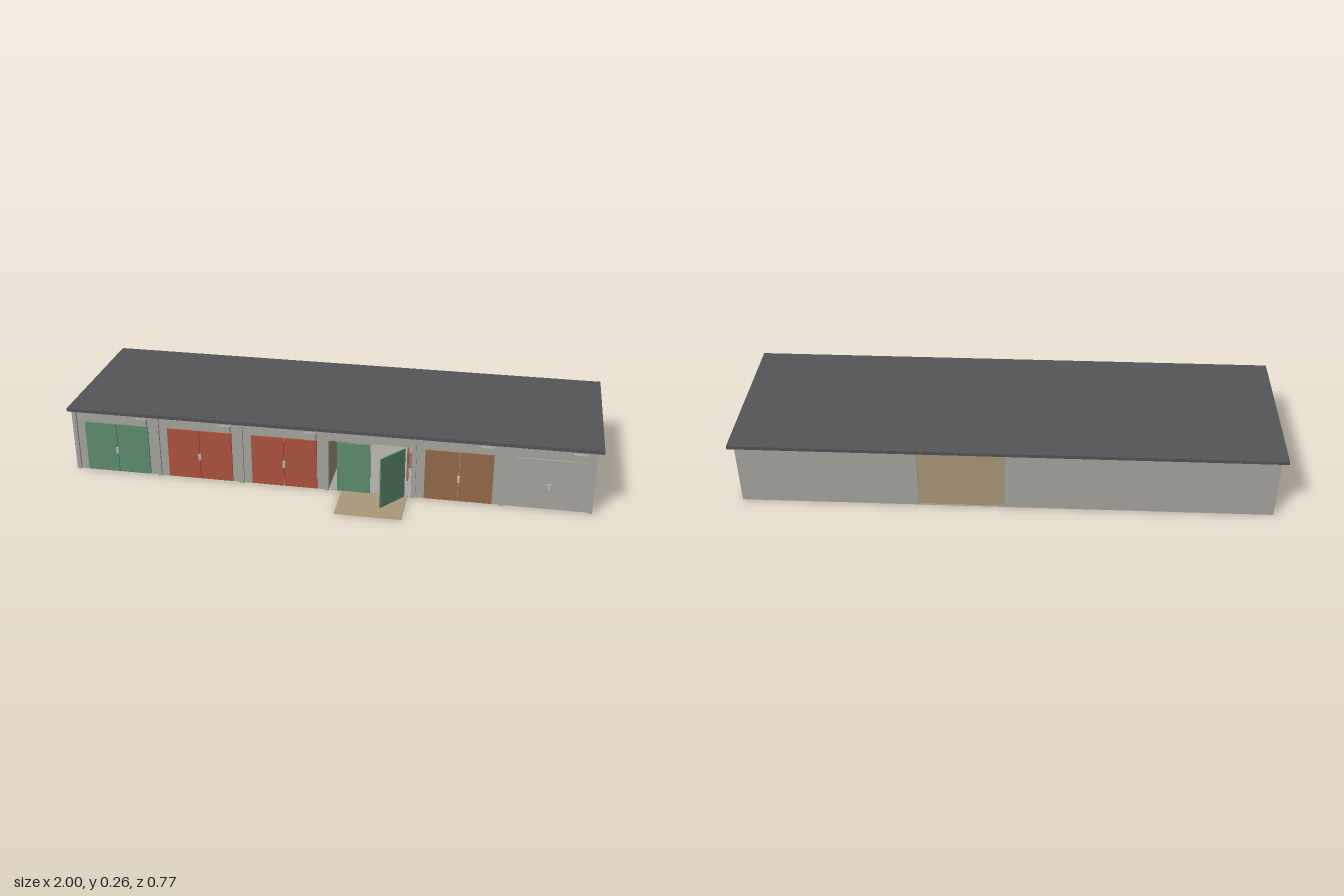
import * as THREE from 'three';

const mat = (name, color, side = THREE.FrontSide) => {
  const m = new THREE.MeshStandardMaterial({ color, side });
  m.name = name;
  return m;
};

export function createModel() {
  const wall = mat('concrete', 0xa9a7a0);
  const roofGrey = mat('roof felt', 0x555558);
  const tan = mat('sand plaster', 0xab9a7a);
  const green = mat('green paint', 0x5f8f70);
  const red = mat('red paint', 0xb0543f);
  const brown = mat('brown paint', 0x976a4c);
  const pale = mat('pale metal', 0xb8b8b4);
  const rubber = mat('rubber', 0x2a2a2c);

  const model = new THREE.Group();
  model.name = 'garageRow';

  // Box given by its min and max on each axis
  const box = (name, m, x0, x1, y0, y1, z0, z1, parent = model) => {
    const mesh = new THREE.Mesh(new THREE.BoxGeometry(x1 - x0, y1 - y0, z1 - z0), m);
    mesh.position.set((x0 + x1) / 2, (y0 + y1) / 2, (z0 + z1) / 2);
    mesh.name = name;
    parent.add(mesh);
    return mesh;
  };

  const END = 0.98, BACK = -0.363, FRONT = 0.212, TOP = 0.25;
  const UNIT = (2 * END) / 6;
  const edge = i => -END + i * UNIT;
  const OPEN = 3;
  const openL = edge(OPEN) + 0.004, openR = edge(OPEN + 1) - 0.004;

  // Closed garages either side of the open one, and the roof slab
  box('wallsRightBlock', wall, -END, openL, 0, TOP, BACK, FRONT);
  box('wallsLeftBlock', wall, openR, END, 0, TOP, BACK, FRONT);
  box('roof', roofGrey, -1, 1, TOP, 0.263, -0.384, 0.233);

  // Open garage: floor, plastered inside walls, lintel, ceiling
  box('openFloor', wall, openL, openR, 0, 0.003, BACK, FRONT);
  box('openBackWall', tan, openL, openR, 0.003, TOP, BACK + 0.003, BACK + 0.012);
  box('openSideWallRight', tan, openL, openL + 0.004, 0.003, TOP, BACK + 0.012, FRONT - 0.002);
  box('openSideWallLeft', tan, openR - 0.004, openR, 0.003, TOP, BACK + 0.012, FRONT - 0.002);
  box('lintel', wall, openL, openR, 0.206, TOP, FRONT - 0.015, FRONT);

  // Pilasters between garages
  for (let i = 0; i <= 6; i++) {
    const x = i === 6 ? END - 0.008 : edge(i);
    box('pilaster', wall, x - 0.008, x + 0.008, 0, TOP, FRONT - 0.01, 0.22);
  }

  // Vent and double gate per garage
  const gateColours = [green, red, red, green, brown, wall];
  const HALF = 0.125, H = 0.203;
  gateColours.forEach((m, i) => {
    const c = edge(i) + UNIT / 2 + 0.002;
    const bay = new THREE.Group();
    bay.name = 'garageFront';
    model.add(bay);
    box('gateLeafRight', m, c - HALF, c - 0.001, 0.003, H, FRONT - 0.004, 0.218, bay);
    if (i === OPEN) {
      // Left leaf swung outwards on its hinge
      const hinge = new THREE.Group();
      hinge.name = 'openGateLeaf';
      hinge.position.set(c + HALF + 0.002, 0, 0.218);
      hinge.rotation.y = 0.92;
      box('gateLeafLeft', m, -HALF, 0, 0.003, H, -0.003, 0.003, hinge);
      bay.add(hinge);
    } else {
      box('gateLeafLeft', m, c + 0.001, c + HALF, 0.003, H, FRONT - 0.004, 0.218, bay);
      box('gateHandle', pale, c - 0.005, c + 0.005, 0.084, 0.108, 0.218, 0.226, bay);
      // Vent box with a rim
      box('ventFrame', wall, c + 0.077, c + 0.123, 0.209, 0.235, FRONT, 0.226, bay);
    }
  });

  // Apron in front of the open garage
  box('apron', tan, 0.058, 0.305, 0, 0.002, FRONT, 0.385);

  // Stack of tyres
  for (let i = 0; i < 3; i++) {
    const tyre = new THREE.Mesh(new THREE.TorusGeometry(0.025, 0.01, 10, 24), rubber);
    tyre.rotation.x = Math.PI / 2;
    tyre.position.set(0.067, 0.012 + i * 0.019, 0.1);
    tyre.name = 'tyre';
    model.add(tyre);
  }

  // Fuel can
  box('fuelCan', red, 0.244, 0.268, 0.002, 0.04, 0.137, 0.151);
  box('fuelCanHandle', red, 0.25, 0.262, 0.04, 0.046, 0.141, 0.147);

  // Workbench along the back wall
  box('benchTop', brown, 0.16, 0.29, 0.084, 0.091, -0.34, -0.25);
  for (const x of [0.17, 0.276])
    for (const z of [-0.335, -0.265]) box('benchLeg', brown, x, x + 0.008, 0.003, 0.084, z, z + 0.008);

  // Shelving on the left inside wall
  for (const y of [0.06, 0.11, 0.16]) box('shelf', brown, 0.288, 0.319, y, y + 0.006, -0.2, 0.1);
  for (const z of [-0.2, 0.092]) box('shelfPost', brown, 0.288, 0.294, 0.003, 0.19, z, z + 0.008);
  [-0.12, -0.02, 0.06].forEach((z, i) =>
    box('shelfBox', [tan, red, pale][i], 0.294, 0.316, 0.116, 0.145, z - 0.018, z + 0.018));

  return model;
}
